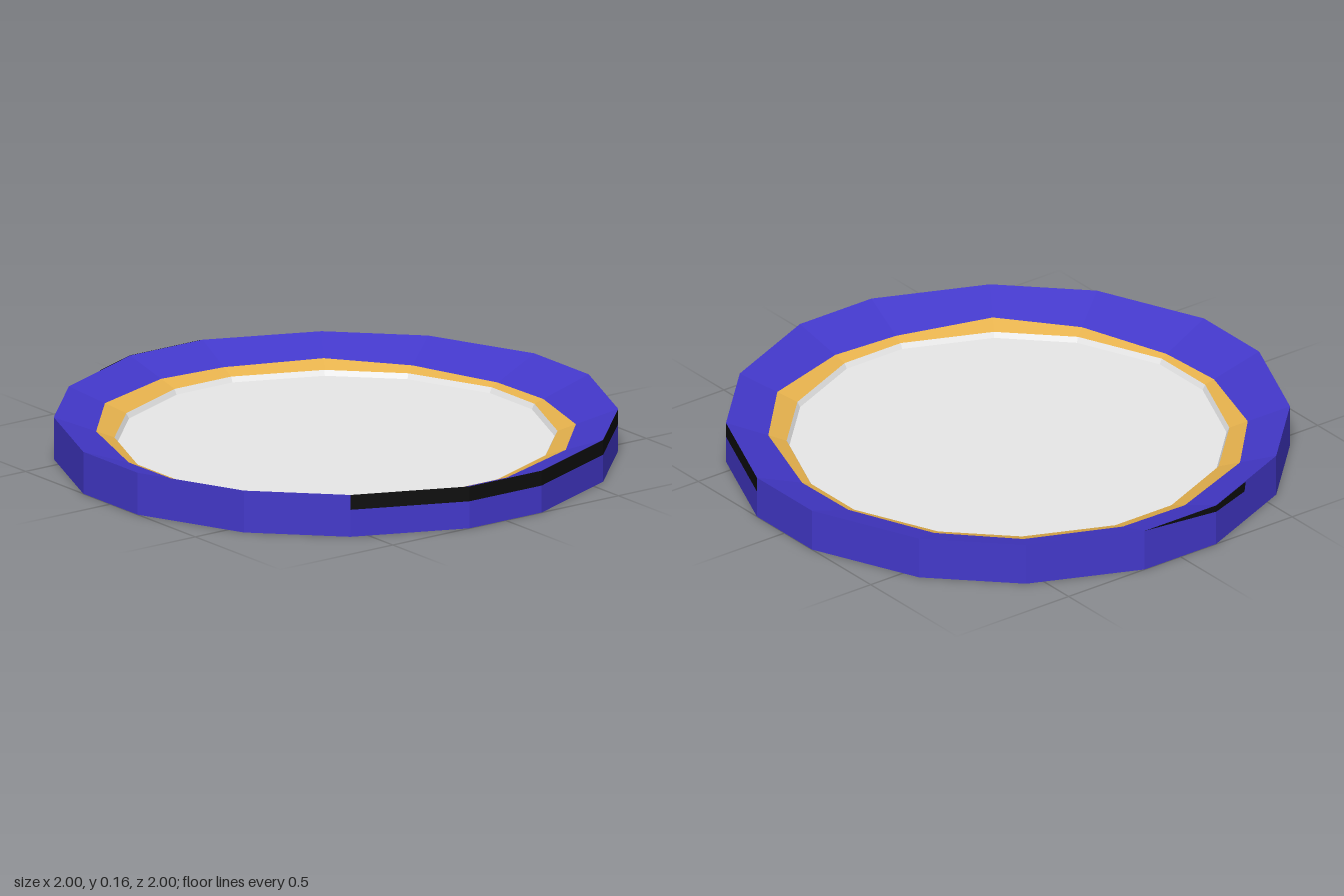
import * as THREE from 'three';

const flat = (name, hex) => {
  const m = new THREE.MeshStandardMaterial({ color: hex });
  m.name = name;
  return m;
};

export function createModel() {
  const group = new THREE.Group();
  group.name = 'shallowDish';
  const blue = flat('indigo', 0x4338ca);
  const gold = flat('gold', 0xfcc355);
  const white = flat('white', 0xffffff);
  const black = flat('black', 0x0d0d0d);

  // Sixteen-sided outline: one quadrant turned four times
  let quadrant = [[1, 0.16], [0.83, 0.56], [0.56, 0.83], [0.16, 1]];
  const outline = [];
  for (let q = 0; q < 4; q++) {
    outline.push(...quadrant);
    quadrant = quadrant.map(([x, z]) => [-z, x]);
  }
  const N = outline.length;
  const ring = (scale, y) => outline.map(([x, z]) => [x * scale, y, z * scale]);

  function addMesh(name, material, triangles) {
    const g = new THREE.BufferGeometry();
    g.setAttribute('position', new THREE.Float32BufferAttribute(triangles.flat(), 3));
    g.computeVertexNormals();
    const mesh = new THREE.Mesh(g, material);
    mesh.name = name;
    group.add(mesh);
  }

  // Flat-shaded strip between two rings, over a run of sides
  function band(name, material, from, to, start = 0, count = N) {
    const tris = [];
    for (let k = start; k < start + count; k++) {
      const i = k % N, j = (k + 1) % N;
      tris.push(from[i], to[i], to[j], from[i], to[j], from[j]);
    }
    addMesh(name, material, tris);
  }

  // Caps: a fan from the centre
  function cap(name, material, loop, up) {
    const tris = [];
    const centre = [0, loop[0][1], 0];
    loop.forEach((p, i) => {
      const n = loop[(i + 1) % N];
      tris.push(centre, ...(up ? [n, p] : [p, n]));
    });
    addMesh(name, material, tris);
  }

  const base = ring(1, 0), middle = ring(1, 0.1), top = ring(1, 0.155);
  const lip = ring(0.785, 0.077), floor = ring(0.775, 0.058);

  // Slightly uneven painted edge along the sloping inner wall
  const edge = [0.82, 0.85, 0.83, 0.81, 0.82, 0.85, 0.865, 0.85,
    0.84, 0.85, 0.83, 0.815, 0.82, 0.85, 0.86, 0.83];
  const paint = outline.map(([x, z], i) => {
    const s = edge[i];
    return [x * s, 0.155 - (1 - s) * 0.363, z * s];
  });

  cap('underside', blue, base, false);
  band('lowerSide', blue, base, middle);
  band('upperSide', blue, middle, top, 1, 11);
  band('darkSideStripe', black, middle, top, 12, 5);
  band('slopingRim', blue, top, paint);
  band('goldBand', gold, paint, lip);
  band('floorEdge', white, lip, floor);
  cap('floor', white, floor, true);

  // Small dark patch just under the rim on the opposite side
  const a = [-0.921, 0.155, 0.353], b = [-0.925, 0.12, 0.345];
  const c = [-1.002, 0.13, 0.16], d = [-1.002, 0.155, 0.16], e = [-1.002, 0.155, -0.16];
  addMesh('darkPatch', black, [a, c, b, a, d, c, d, e, c]);
  group.getObjectByName('darkPatch').material.side = THREE.DoubleSide;

  return group;
}
